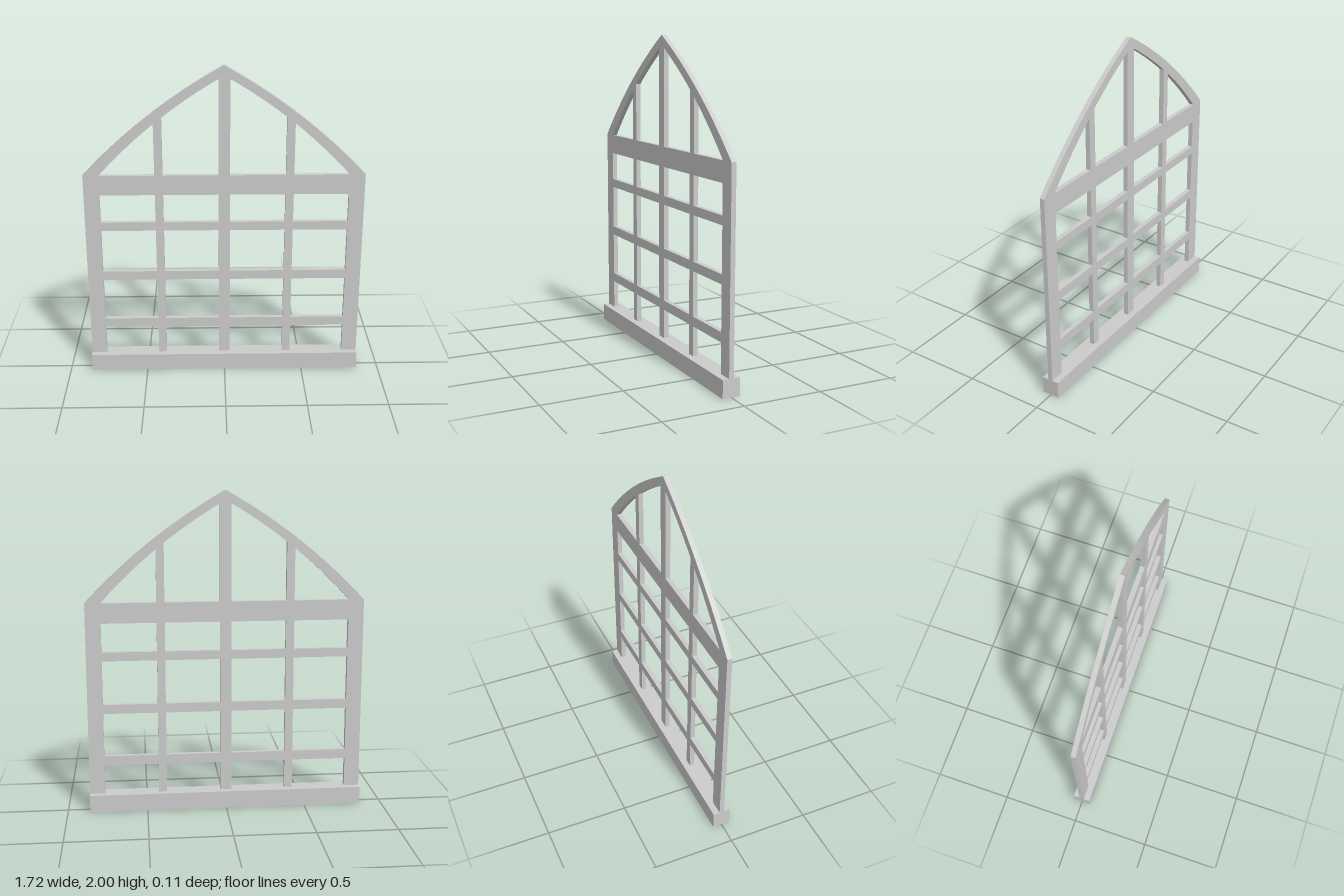
import * as THREE from 'three';

const DEPTH = 0.03;
const HALF = 0.86;       // half width of the window
const INNER = 0.765;     // inner edge of the side stiles
const SPRING = 1.325;    // height where the pointed arch starts
const SILL = 0.11;

const material = new THREE.MeshStandardMaterial({ color: 0xcccccc });

// Right-hand halves of the arch, from the apex down to the springing line
const outerArc = new THREE.QuadraticBezierCurve(
  new THREE.Vector2(0, 2), new THREE.Vector2(0.48, 1.73), new THREE.Vector2(HALF, SPRING));
const innerArc = new THREE.QuadraticBezierCurve(
  new THREE.Vector2(0, 1.94), new THREE.Vector2(0.43, 1.695), new THREE.Vector2(INNER, SPRING));
const outerPoints = outerArc.getPoints(12);
const innerPoints = innerArc.getPoints(12);

// Height of the arch's underside at a given x
function undersideAt(x) {
  const ax = Math.abs(x);
  const i = Math.max(1, innerPoints.findIndex((p) => p.x >= ax));
  const a = innerPoints[i - 1], b = innerPoints[i];
  return a.y + (b.y - a.y) * (ax - a.x) / (b.x - a.x);
}

function addSlab(group, name, points) {
  const geometry = new THREE.ExtrudeGeometry(new THREE.Shape(points), { depth: DEPTH, bevelEnabled: false });
  geometry.translate(0, 0, -DEPTH / 2);
  const mesh = new THREE.Mesh(geometry, material);
  mesh.name = name;
  group.add(mesh);
}

function addBox(group, name, x0, x1, y0, y1, depth = DEPTH) {
  const mesh = new THREE.Mesh(new THREE.BoxGeometry(x1 - x0, y1 - y0, depth), material);
  mesh.position.set((x0 + x1) / 2, (y0 + y1) / 2, 0);
  mesh.name = name;
  group.add(mesh);
}

export function createModel() {
  const model = new THREE.Group();
  model.name = 'archedWindowFrame';

  // Deep sill at the bottom
  addBox(model, 'sill', -HALF, HALF, 0, SILL, 0.11);

  // Side stiles
  addBox(model, 'leftStile', INNER, HALF, SILL, SPRING);
  addBox(model, 'rightStile', -HALF, -INNER, SILL, SPRING);

  // Pointed arch: outer curve over the top, inner curve back
  const mirror = (p) => new THREE.Vector2(-p.x, p.y);
  addSlab(model, 'arch', [
    ...outerPoints.slice().reverse(),
    ...outerPoints.slice(1).map(mirror),
    ...innerPoints.slice().reverse().map(mirror),
    ...innerPoints.slice(1),
  ]);

  // Vertical mullions, cut to the underside of the arch
  const mullions = [
    ['rightMullion', -0.425, -0.375],
    ['centreMullion', -0.035, 0.035],
    ['leftMullion', 0.375, 0.425],
  ];
  for (const [name, x0, x1] of mullions) {
    const top = [new THREE.Vector2(x1, undersideAt(x1)), new THREE.Vector2(x0, undersideAt(x0))];
    if (x0 * x1 < 0) top.splice(1, 0, new THREE.Vector2(0, undersideAt(0)));
    addSlab(model, name, [new THREE.Vector2(x0, SILL), new THREE.Vector2(x1, SILL), ...top]);
  }

  // Horizontal rails, fitted between the uprights
  const rails = [
    ['lowerRail', 0.295, 0.355],
    ['middleRail', 0.63, 0.688],
    ['upperRail', 0.965, 1.02],
    ['transom', 1.2, SPRING],
  ];
  const bays = [[-INNER, -0.425], [-0.375, -0.035], [0.035, 0.375], [0.425, INNER]];
  for (const [name, y0, y1] of rails) {
    const rail = new THREE.Group();
    rail.name = name;
    for (const [x0, x1] of bays) addBox(rail, name + 'Piece', x0, x1, y0, y1);
    model.add(rail);
  }

  return model;
}
